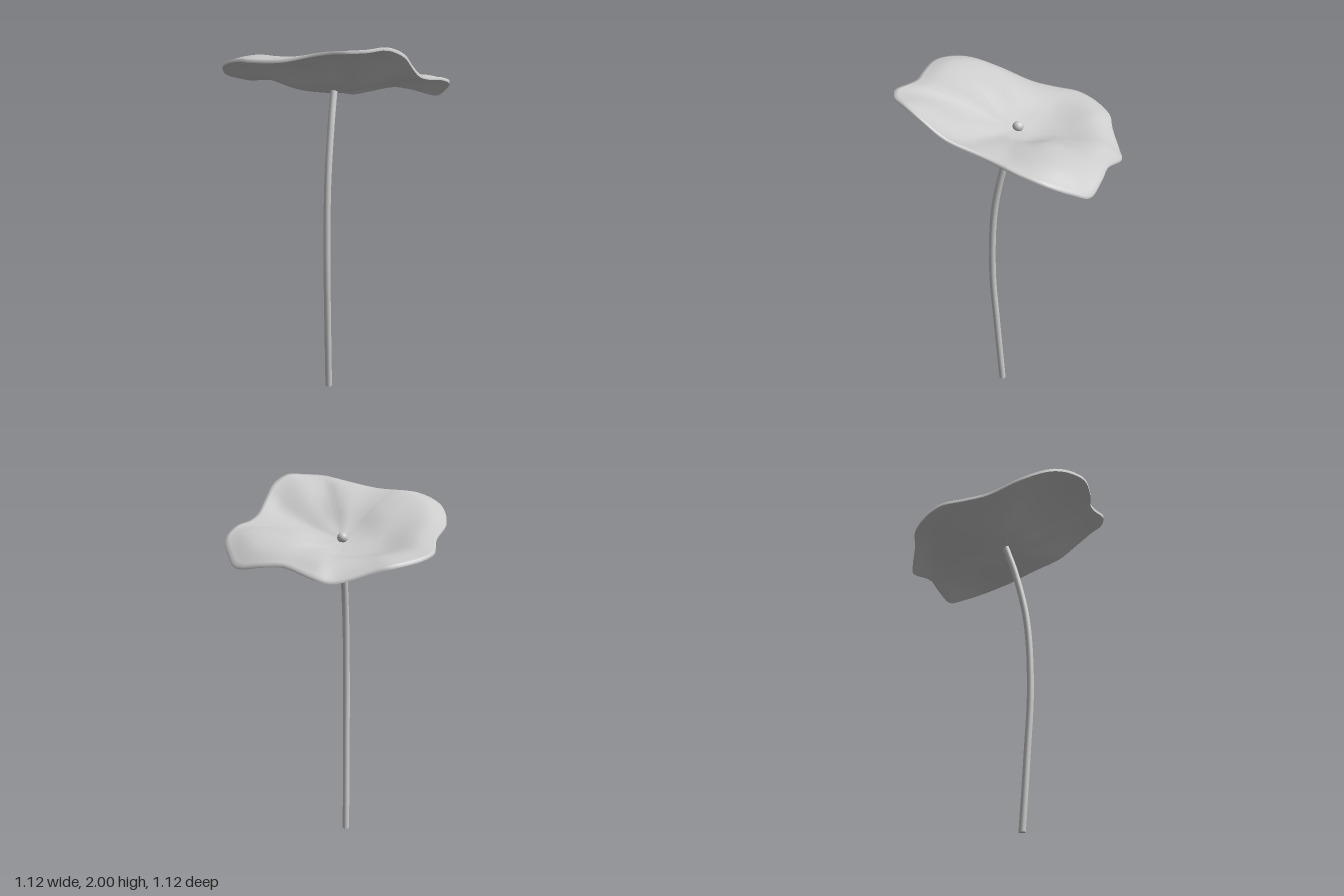
import * as THREE from 'three';

const material = new THREE.MeshStandardMaterial({ color: 0xcccccc });
const SEGMENTS = 120, RINGS = 24, HALF_THICKNESS = 0.008;
const HUB = new THREE.Vector3(0, 1.69, 0);

// wavy rim of the leaf as x, y, z, starting at the back and passing the left side (+x)
const RIM = [
  [0.08, 1.68, -0.565], [0.2, 1.66, -0.54], [0.32, 1.64, -0.46], [0.38, 1.615, -0.365],
  [0.48, 1.572, -0.235], [0.53, 1.59, -0.135], [0.53, 1.635, 0.03], [0.55, 1.63, 0.15],
  [0.557, 1.612, 0.295], [0.505, 1.655, 0.38], [0.405, 1.72, 0.47], [0.257, 1.765, 0.505],
  [0.155, 1.78, 0.493], [0.05, 1.81, 0.5], [-0.087, 1.87, 0.543], [-0.197, 1.945, 0.56],
  [-0.31, 1.99, 0.537], [-0.4, 1.985, 0.483], [-0.45, 1.98, 0.41], [-0.457, 1.975, 0.36],
  [-0.45, 1.965, 0.29], [-0.463, 1.945, 0.19], [-0.52, 1.915, 0.06], [-0.56, 1.905, -0.09],
  [-0.547, 1.9, -0.18], [-0.508, 1.875, -0.29], [-0.448, 1.835, -0.38], [-0.33, 1.775, -0.453],
  [-0.16, 1.725, -0.477], [-0.027, 1.695, -0.53],
];

// surface height at 0.45 and 0.8 of the way out, under every second rim point
const INNER = [
  [1.665, 1.695], [1.65, 1.67], [1.655, 1.65], [1.685, 1.678], [1.73, 1.7],
  [1.74, 1.755], [1.735, 1.765], [1.745, 1.81], [1.81, 1.94], [1.84, 1.945],
  [1.84, 1.94], [1.84, 1.915], [1.84, 1.91], [1.8, 1.855], [1.7, 1.74],
];

// even samples round a closed smooth curve
function sampleLoop(points) {
  const vectors = points.map(([x, y, z = 0]) => new THREE.Vector3(x, y, z));
  return new THREE.CatmullRomCurve3(vectors, true, 'catmullrom')
    .getPoints(SEGMENTS).slice(0, SEGMENTS);
}

// joins equal rows of points into a smooth surface closed around the hub
function loft(rows) {
  const n = rows[0].length, index = [];
  for (let j = 0; j < rows.length - 1; j++) {
    for (let i = 0; i < n; i++) {
      const k = (i + 1) % n;
      const a = j * n + i, b = j * n + k, c = a + n, d = b + n;
      index.push(a, b, c, b, d, c);
    }
  }
  const geometry = new THREE.BufferGeometry().setFromPoints(rows.flat());
  geometry.setIndex(index);
  geometry.computeVertexNormals();
  return geometry;
}

// rib from the hub over the inner heights to the rim; it leaves the hub along a gentle tilt
function buildRib(rim, middle, outer) {
  const at = (t, y) => new THREE.Vector3(rim.x * t, y, rim.z * t);
  const tilt = (-0.2 * rim.x + 0.08 * rim.z) * 0.2;
  const nearHub = HUB.y + tilt + 0.22 * (middle - HUB.y);
  return new THREE.CatmullRomCurve3([
    HUB, at(0.2, nearHub), at(0.45, middle), at(0.8, outer), rim,
  ]).getPoints(RINGS);
}

function buildLeaf() {
  const leaf = new THREE.Group();
  leaf.name = 'leaf';
  const inner = sampleLoop(INNER);
  const ribs = sampleLoop(RIM).map((p, i) => buildRib(p, inner[i].x, inner[i].y));
  const sheet = (offset) => Array.from({ length: RINGS + 1 }, (_, j) =>
    ribs.map((rib) => new THREE.Vector3(rib[j].x, rib[j].y + offset, rib[j].z)));
  const top = sheet(HALF_THICKNESS), bottom = sheet(-HALF_THICKNESS);
  // the upper side rolls softly over the rim to meet the underside
  const parts = {
    leafTop: [...top, bottom[RINGS]],
    leafUnderside: bottom.slice().reverse(),
  };
  for (const [name, rows] of Object.entries(parts)) {
    const mesh = new THREE.Mesh(loft(rows), material);
    mesh.name = name;
    leaf.add(mesh);
  }
  return leaf;
}

export function createModel() {
  const model = new THREE.Group();
  model.name = 'leafOnStalk';
  model.add(buildLeaf());

  // bowed stalk
  const path = new THREE.CatmullRomCurve3([
    [-0.083, 0, 0.025], [-0.108, 0.4, 0.037], [-0.128, 0.8, 0.047],
    [-0.112, 1.2, 0.042], [-0.055, 1.5, 0.022], [0, 1.69, 0.002],
  ].map((p) => new THREE.Vector3(...p)));
  const stalk = new THREE.Mesh(new THREE.TubeGeometry(path, 48, 0.019, 16), material);
  stalk.name = 'stalk';
  model.add(stalk);

  // cap closing the foot of the stalk
  const foot = new THREE.Mesh(new THREE.CircleGeometry(0.019, 16), material);
  foot.name = 'stalkFoot';
  foot.rotation.x = Math.PI / 2;
  foot.position.copy(path.getPoint(0));
  model.add(foot);

  // small bead where the stalk meets the leaf
  const bead = new THREE.Mesh(new THREE.SphereGeometry(0.028, 24, 16), material);
  bead.name = 'centreBead';
  bead.position.set(0.007, 1.712, -0.003);
  model.add(bead);

  return model;
}
